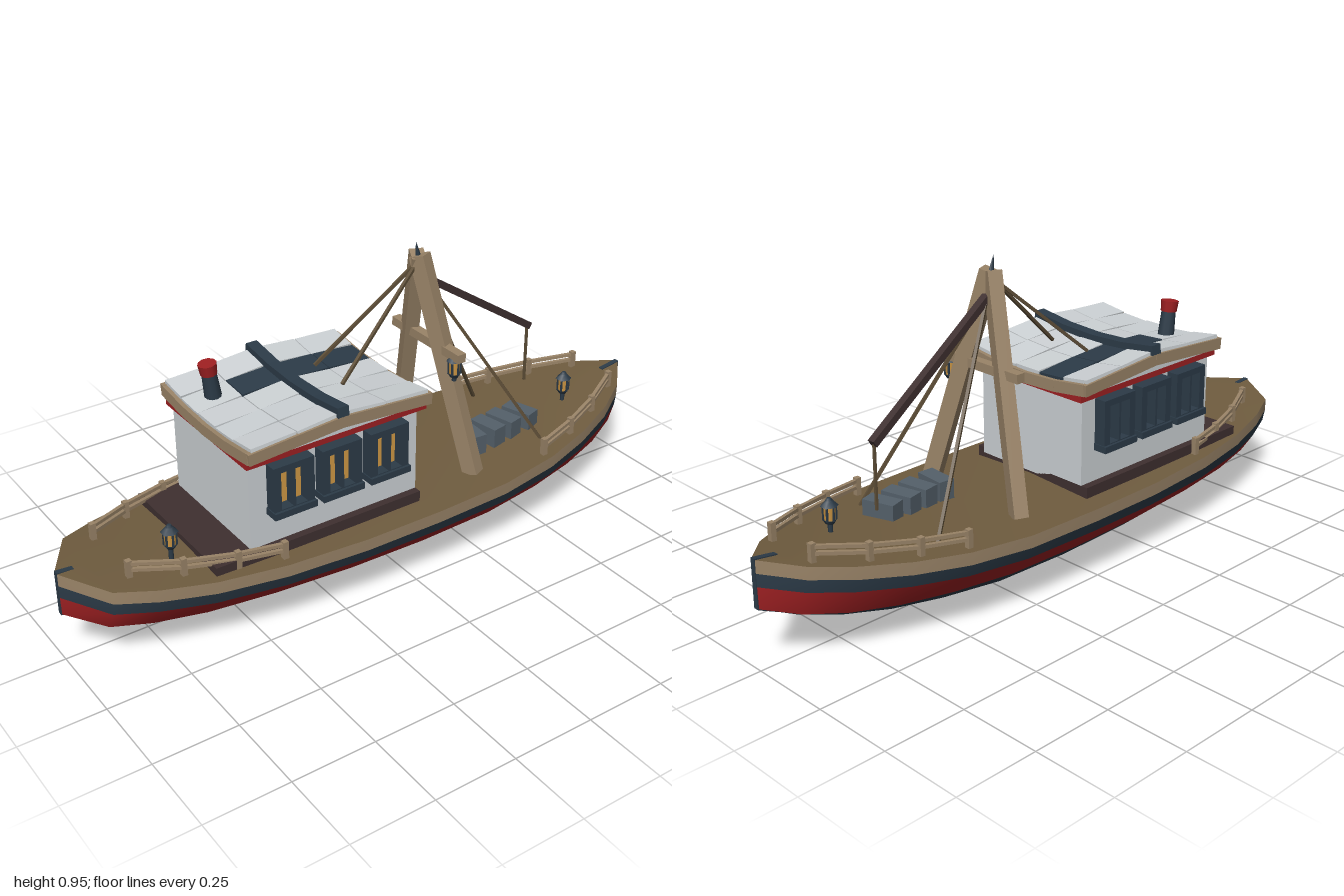
import * as THREE from 'three';

const paint = (name, color) => Object.assign(new THREE.MeshStandardMaterial({ color }), { name });
const NAVY = paint('navy', 0x2c3b48), RED = paint('red', 0x9e2022), WHITE = paint('white', 0xcdd2d5);
const WOOD = paint('wood', 0x9a8468), DECK = paint('deck brown', 0x6f5c3f), DARK = paint('dark timber', 0x3f3030);
const AMBER = paint('amber', 0xd29a45), SLATE = paint('slate', 0x54606a), ROPE = paint('rope', 0x5f4f38);

// Hull stations: x, half width, sheer height, keel height
const STATIONS = [
  [-1, .006, .287, .157], [-.91, .152, .277, .125], [-.8, .2, .267, .093], [-.65, .242, .256, .06],
  [-.45, .275, .249, .033], [-.2, .293, .246, .011], [.05, .295, .246, .003], [.3, .287, .247, .01],
  [.5, .262, .258, .037], [.66, .22, .273, .066], [.8, .166, .291, .105], [.91, .1, .307, .145], [1, .006, .324, .185],
];

function sheer(x) {
  let i = 0;
  while (i < STATIONS.length - 2 && STATIONS[i + 1][0] < x) i++;
  const a = STATIONS[i], b = STATIONS[i + 1];
  return THREE.MathUtils.lerp(a[2], b[2], (x - a[0]) / (b[0] - a[0]));
}

function add(parent, geo, mat, name, x = 0, y = 0, z = 0) {
  const m = new THREE.Mesh(geo, mat);
  m.name = name;
  m.position.set(x, y, z);
  parent.add(m);
  return m;
}

const box = (p, name, mat, w, h, d, x, y, z) => add(p, new THREE.BoxGeometry(w, h, d), mat, name, x, y, z);

// Rectangular bar between two points
function bar(parent, name, mat, a, b, w, h) {
  const A = new THREE.Vector3(...a), B = new THREE.Vector3(...b);
  const m = new THREE.Mesh(new THREE.BoxGeometry(w, h, A.distanceTo(B)), mat);
  m.name = name;
  m.position.copy(A).add(B).multiplyScalar(.5);
  m.lookAt(B);
  parent.add(m);
  return m;
}

// Surface through rows of points
function strip(parent, name, mat, rows) {
  const n = rows[0].length, index = [];
  for (let i = 0; i < rows.length - 1; i++) for (let j = 0; j < n - 1; j++) {
    const a = i * n + j, b = a + n;
    index.push(a, a + 1, b, b, a + 1, b + 1);
  }
  const geo = new THREE.BufferGeometry();
  geo.setAttribute('position', new THREE.Float32BufferAttribute(rows.flat(2), 3));
  geo.setIndex(index);
  geo.computeVertexNormals();
  add(parent, geo, mat, name);
}

function buildHull(g) {
  const rows = STATIONS.map(([x, w, s, k]) => {
    const d = s - k, red = THREE.MathUtils.lerp(.6, 1, Math.abs(x) ** 3);
    const below = f => red + (1 - red) * f;
    const half = [[1, 0], [.995, Math.min(.038 / d, .3)], [.94, Math.min(.076 / d, .58)], [.72, red],
      [.54, below(.46)], [.3, below(.83)]].map(([u, f]) => [x, s - d * f, w * u]);
    return [...half, [x, k, 0], ...half.map(([a, b, c]) => [a, b, -c]).reverse()];
  });
  const bands = [['bulwark', WOOD, 0, 1], ['hullStripe', NAVY, 1, 2], ['redBand', RED, 2, 3], ['hullBottom', NAVY, 3, 9],
    ['redBand', RED, 9, 10], ['hullStripe', NAVY, 10, 11], ['bulwark', WOOD, 11, 12]];
  for (const [name, mat, a, b] of bands) strip(g, name, mat, rows.map(r => r.slice(a, b + 1)));
  strip(g, 'deck', DECK, STATIONS.map(([x, w, s]) => [[x, s, -w], [x, s + .045 * w, 0], [x, s, w]]));
  // Stem and stern posts
  for (const [name, pts] of [['stem', [[.93, .15], [1, .183], [1, .327], [.93, .317]]],
    ['sternPost', [[-1, .155], [-.95, .14], [-.95, .286], [-1, .29]]]]) {
    const shape = new THREE.Shape(pts.map(p => new THREE.Vector2(...p)));
    add(g, new THREE.ExtrudeGeometry(shape, { depth: .016, bevelEnabled: false }), NAVY, name, 0, 0, -.008);
  }
}

function buildWindow() {
  const w = new THREE.Group();
  w.name = 'window';
  const rect = (C, x, y, a, b) => new C([[-a, -b], [a, -b], [a, b], [-a, b]].map(p => new THREE.Vector2(x + p[0], y + p[1])));
  const frame = rect(THREE.Shape, 0, 0, .064, .076);
  for (const x of [-.0225, .0225]) {
    frame.holes.push(rect(THREE.Path, x, 0, .0185, .057));
    box(w, 'pane', AMBER, .037, .114, .004, x, 0, .002);
  }
  add(w, new THREE.ExtrudeGeometry(frame, { depth: .038, bevelEnabled: false }), NAVY, 'frame');
  box(w, 'sill', NAVY, .134, .02, .046, 0, -.07, .023);
  return w;
}

function buildCabin(g) {
  const cabin = new THREE.Group();
  cabin.name = 'cabin';
  cabin.position.z = -.006;
  g.add(cabin);
  box(cabin, 'base', DARK, .67, .04, .45, -.305, .262, 0);
  box(cabin, 'walls', WHITE, .55, .29, .404, -.245, .41, 0);
  for (const x of [-.4, -.245, -.088]) for (const s of [1, -1]) {
    const w = buildWindow();
    w.position.set(x, .458, s * .202);
    if (s < 0) w.rotation.y = Math.PI;
    cabin.add(w);
  }
  // Roof rises to a cross ridge and sags in the middle
  const cx = -.24, hx = .295, hz = .232;
  const top = (x, z) => .6 + .02 * (1 - Math.abs(x - cx) / hx) - .02 * (1 - (z / hz) ** 2);
  box(cabin, 'redTrim', RED, .585, .027, .438, cx, .557, 0);
  box(cabin, 'roofCore', WHITE, .56, .025, .44, cx, .574, 0);
  for (const s of [1, -1]) {
    for (const e of [1, -1])
      bar(cabin, 'sideFascia', WOOD, [cx, top(cx, hz) - .016, s * hz], [cx + e * hx, top(cx + hx, hz) - .016, s * hz], .016, .034);
    for (let i = 0; i < 4; i++) {
      const x = cx + s * (hx - .006), z0 = hz * (i / 2 - 1), z1 = z0 + hz / 2;
      bar(cabin, 'endFascia', WOOD, [x, top(x, z0) - .016, z0], [x, top(x, z1) - .016, z1], .016, .034);
    }
  }
  // Roof panels
  for (let c = 0; c < 4; c++) for (let r = 0; r < 5; r++) {
    const x = cx + (c - 1.5) * .143, z = (r - 2) * .094;
    const tile = box(cabin, 'roofPanel', r === 1 && c > 0 ? NAVY : WHITE, .14, .016, .09, x, top(x, z) + .003, z);
    tile.rotation.set(-.17 * z / hz, 0, (c < 2 ? .068 : -.068) + .02 * ((c + r) % 2 ? 1 : -1));
  }
  for (let i = 0; i < 4; i++) {
    const z0 = .238 * (i / 2 - 1), z1 = z0 + .119;
    bar(cabin, 'ridgeBeam', NAVY, [cx, top(cx, z0) + .013, z0], [cx, top(cx, z1) + .013, z1], .036, .03);
  }
  // Chimney
  const chimney = new THREE.Group();
  chimney.name = 'chimney';
  chimney.position.set(-.448, .6, -.097);
  chimney.rotation.z = .13;
  add(chimney, new THREE.CylinderGeometry(.021, .025, .085, 10), NAVY, 'funnel', 0, .035, 0);
  add(chimney, new THREE.CylinderGeometry(.027, .024, .033, 10), RED, 'funnelCap', 0, .088, 0);
  cabin.add(chimney);
}

function lantern(g, x, y, z, post) {
  const l = new THREE.Group();
  l.name = 'lantern';
  l.position.set(x, y, z);
  g.add(l);
  const cyl = (name, mat, a, b, h, py) => add(l, new THREE.CylinderGeometry(a, b, h, 6).toNonIndexed(), mat, name, 0, py, 0);
  cyl('lampPost', NAVY, .007, .007, post, -post / 2);
  cyl('lampBase', NAVY, .019, .012, .012, .006);
  cyl('lampGlass', AMBER, .018, .016, .042, .032);
  cyl('lampCap', NAVY, .01, .025, .016, .06);
  cyl('lampTop', NAVY, .006, .01, .007, .071);
  for (let i = 0; i < 6; i++) {
    const a = i * Math.PI / 3;
    box(l, 'lampBar', NAVY, .005, .042, .005, .017 * Math.sin(a), .032, .017 * Math.cos(a));
  }
}

function buildRig(g) {
  const rig = new THREE.Group();
  rig.name = 'mastRig';
  g.add(rig);
  for (const s of [1, -1]) {
    bar(rig, 'mastLeg', WOOD, [.253, .25, s * .184], [.176, .905, s * .004], .042, .048);
    bar(rig, 'foreStay', ROPE, [.19, .84, 0], [.54, .25, s * .168], .009, .009);
    bar(rig, 'aftStay', ROPE, [.175, .885, 0], [-.135, .615, s * .07], .009, .009);
  }
  box(rig, 'crossBar', WOOD, .028, .027, .318, .206, .636, .013);
  bar(rig, 'boom', DARK, [.19, .835, 0], [.637, .54, -.038], .022, .022);
  box(rig, 'hoistLine', ROPE, .007, .19, .007, .632, .445, -.038);
  const tip = add(rig, new THREE.ConeGeometry(.014, .085, 6), NAVY, 'finial', .172, .907, .002);
  tip.rotation.z = .2;
  lantern(rig, .206, .565, .14, .012);
}

function buildRails(g) {
  const runs = [[[-.84, .107], [-.71, .168], [-.57, .213], [-.44, .24]],
    [[.485, .235], [.62, .2], [.75, .152], [.88, .085]]];
  for (const run of runs) for (const s of [1, -1]) {
    const rail = new THREE.Group();
    rail.name = 'railing';
    g.add(rail);
    const pts = run.map(([x, z]) => [x, sheer(x), s * z]);
    pts.forEach(([x, y, z], i) => {
      box(rail, 'railPost', WOOD, .016, .058, .016, x, y + .026, z);
      if (!i) return;
      const [px, py, pz] = pts[i - 1];
      for (const h of [.026, .045]) bar(rail, 'rail', WOOD, [px, py + h, pz], [x, y + h, z], .011, .01);
    });
  }
}

export function createModel() {
  const g = new THREE.Group();
  g.name = 'fishingBoat';
  buildHull(g);
  buildCabin(g);
  buildRig(g);
  buildRails(g);
  lantern(g, .722, .312, .048, .04);
  lantern(g, -.708, .306, .095, .05);
  // Deck crates
  [[.328, .075, -.06], [.4, .07, .17], [.467, .062, .24], [.538, .056, .3]].forEach(([x, z, r]) => {
    box(g, 'crate', SLATE, .05, .065, .1, x, .287, z).rotation.y = r;
  });
  return g;
}
